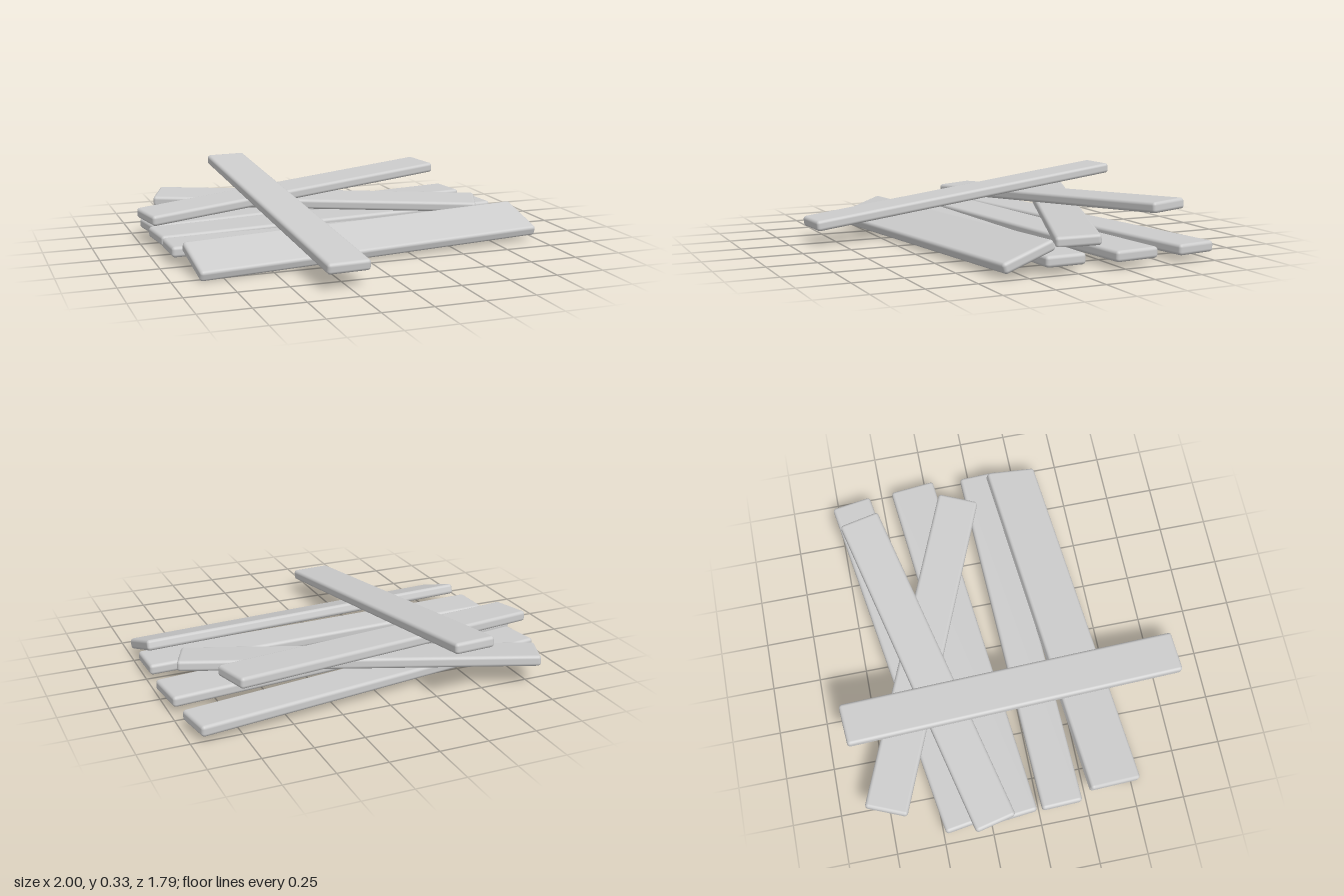
import * as THREE from 'three';
import { RoundedBoxGeometry } from 'three/addons/geometries/RoundedBoxGeometry.js';

const THICKNESS = 0.055;

// name, centre of each end, width, roll in degrees about the length
const PLANKS = [
  ['frontPlank', [-0.882, 0.08, 0.41], [0.973, 0.105, 0.232], 0.285, 18.5],
  ['lowerFrontPlank', [-0.935, 0.08, 0.12], [0.993, 0.078, 0.055], 0.21, 0],
  ['lowerMiddlePlank', [-0.945, 0.078, -0.13], [0.995, 0.075, -0.322], 0.24, 0],
  ['lowerBackPlank', [-0.942, 0.073, -0.38], [0.965, 0.073, -0.672], 0.215, 0],
  ['diagonalPlank', [-0.805, 0.15, -0.765], [0.85, 0.132, -0.085], 0.22, 4],
  ['upperBackPlank', [-0.975, 0.16, -0.232], [0.77, 0.256, -0.64], 0.215, 2],
  ['topCrossPlank', [-0.37, 0.32, -0.895], [-0.255, 0.116, 0.885], 0.218, 0],
];

// A rounded board stretched between two end points
function makePlank(name, start, end, width, roll, material) {
  const a = new THREE.Vector3(...start);
  const b = new THREE.Vector3(...end);
  const along = b.clone().sub(a);
  const length = along.length();
  along.normalize();
  const across = along.clone().cross(new THREE.Vector3(0, 1, 0)).normalize();
  const up = across.clone().cross(along);

  const mesh = new THREE.Mesh(new RoundedBoxGeometry(length, THICKNESS, width, 3, 0.017), material);
  mesh.name = name;
  mesh.quaternion.setFromRotationMatrix(new THREE.Matrix4().makeBasis(along, up, across));
  mesh.rotateX(THREE.MathUtils.degToRad(roll));
  mesh.position.copy(a).add(b).multiplyScalar(0.5);
  return mesh;
}

export function createModel() {
  const group = new THREE.Group();
  group.name = 'plankPile';
  const wood = new THREE.MeshStandardMaterial({ color: 0xcccccc });
  for (const [name, start, end, width, roll] of PLANKS) {
    group.add(makePlank(name, start, end, width, roll, wood));
  }
  return group;
}
